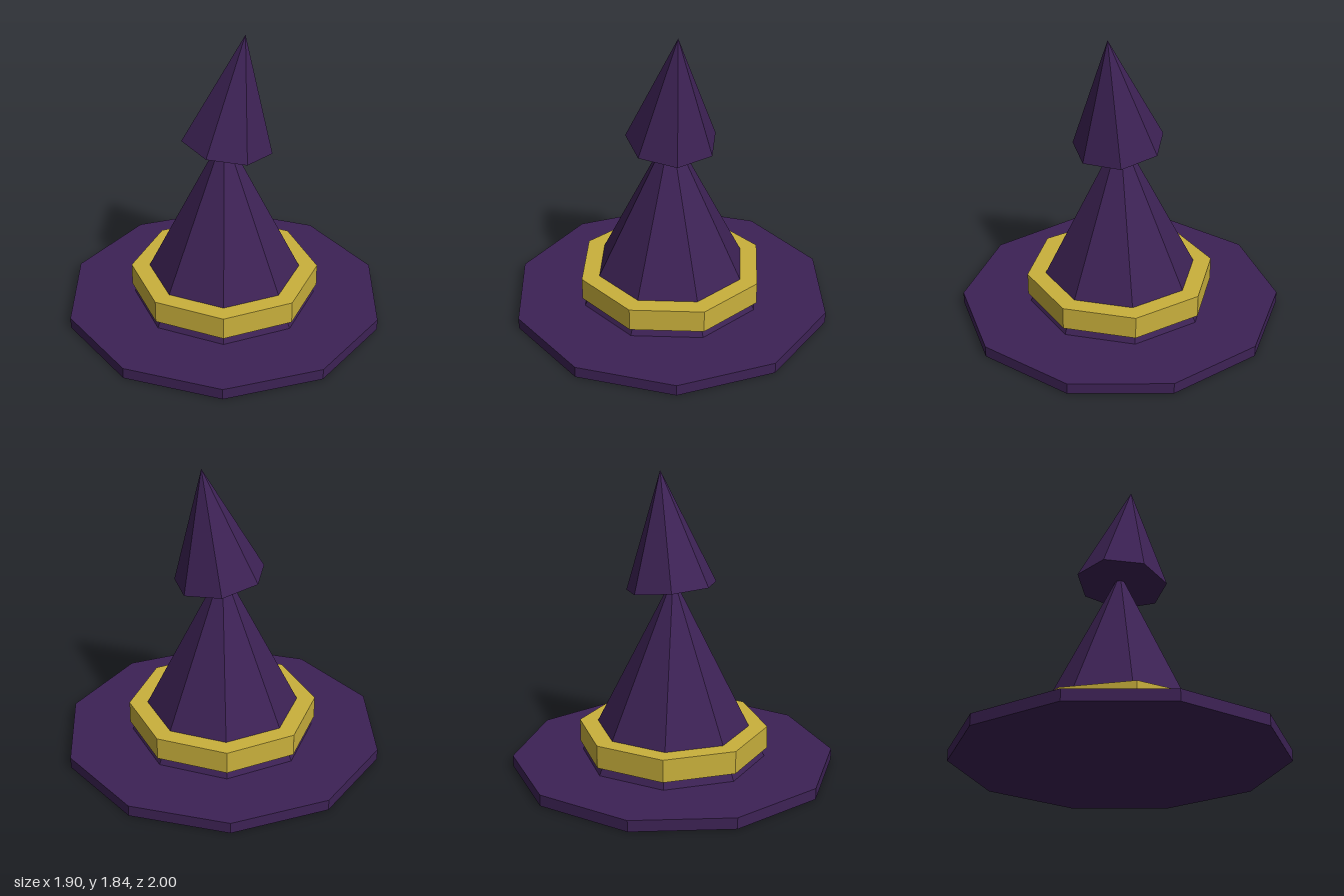
import * as THREE from 'three';

export function createModel() {
  const purple = new THREE.MeshStandardMaterial({ color: 0x3d2255, flatShading: true });
  purple.name = 'purpleFelt';
  const gold = new THREE.MeshStandardMaterial({ color: 0xc9b03c, flatShading: true });
  gold.name = 'goldBand';

  const hat = new THREE.Group();
  hat.name = 'pointedHat';

  // Adds a faceted, capped cylinder or cone centred at the given height
  function addPart(name, material, topRadius, bottomRadius, height, sides, x, y) {
    const geometry = new THREE.CylinderGeometry(topRadius, bottomRadius, height, sides);
    const mesh = new THREE.Mesh(geometry, material);
    mesh.name = name;
    mesh.position.set(x, y, 0);
    hat.add(mesh);
    return mesh;
  }

  // Wide ten-sided brim
  addPart('brim', purple, 1, 1, 0.07, 10, 0, 0.035);

  // Eight-sided crown, sunk slightly into the brim
  addPart('crown', purple, 0, 0.588, 1.176, 8, 0, 0.623);

  // Band around the crown
  addPart('band', gold, 0.586, 0.586, 0.142, 8, 0, 0.196);

  // Seven-sided tip, leaning to the side, with one corner at the back
  const tip = addPart('bentTip', purple, 0, 0.282, 0.706, 7, 0.069, 1.493);
  tip.rotation.set(0, Math.PI, -0.15, 'ZYX');

  return hat;
}
